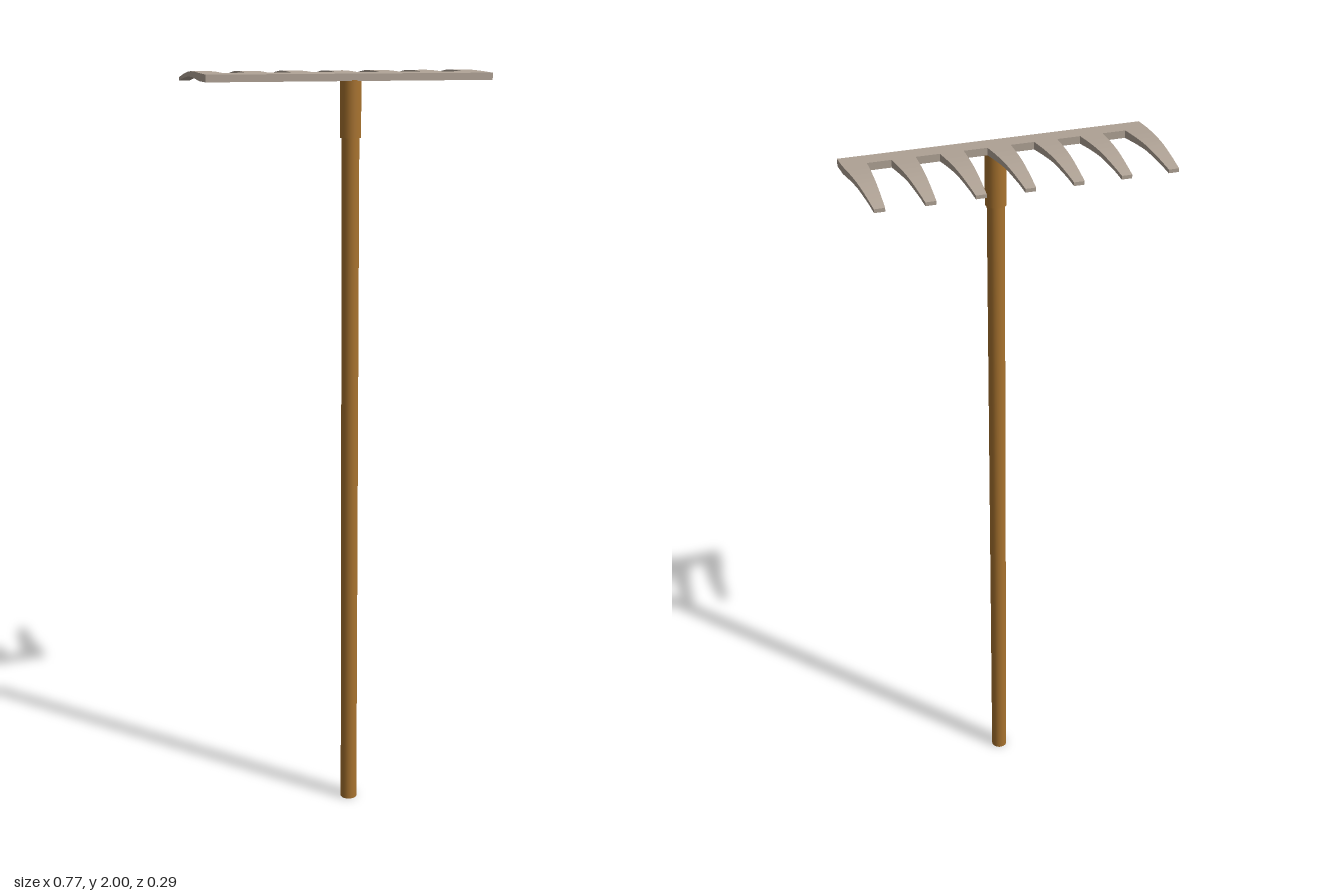
import * as THREE from 'three';

// Arched side profile of the head: [z, top y, underside y]
const PROFILE = [
  [0.142, 1.994, 1.976], [0.087, 1.997, 1.978], [0.04, 1.9995, 1.983], [0, 2, 1.986],
  [-0.03, 1.999, 1.987], [-0.07, 1.995, 1.984], [-0.11, 1.989, 1.98], [-0.144, 1.983, 1.974],
];

function profileAt(z, side) {
  let i = 0;
  while (i < PROFILE.length - 2 && z < PROFILE[i + 1][0]) i++;
  const a = PROFILE[i], b = PROFILE[i + 1];
  return THREE.MathUtils.lerp(a[side], b[side], (z - a[0]) / (b[0] - a[0]));
}

// A strip between two z positions that follows the profile and may taper
function strip(zFront, zBack, wFront, wBack, segments) {
  const g = new THREE.BoxGeometry(1, 1, 1, 1, 1, segments);
  const p = g.attributes.position;
  for (let i = 0; i < p.count; i++) {
    const t = 0.5 - p.getZ(i);
    const z = THREE.MathUtils.lerp(zFront, zBack, t);
    const x = p.getX(i) * THREE.MathUtils.lerp(wFront, wBack, t);
    p.setXYZ(i, x, profileAt(z, p.getY(i) > 0 ? 1 : 2), z);
  }
  g.computeVertexNormals();
  return g;
}

export function createModel() {
  const model = new THREE.Group();
  model.name = 'rake';
  const wood = new THREE.MeshStandardMaterial({ color: 0xa8732f });
  wood.name = 'wood';
  const metal = new THREE.MeshStandardMaterial({ color: 0xb0a396 });
  metal.name = 'metal';

  const add = (parent, name, geometry, material, x = 0, y = 0, z = 0) => {
    const mesh = new THREE.Mesh(geometry, material);
    mesh.name = name;
    mesh.position.set(x, y, z);
    parent.add(mesh);
  };

  // Handle and the thicker collar under the head
  add(model, 'handle', new THREE.CylinderGeometry(0.0225, 0.0225, 1.9, 24), wood, 0, 0.95, 0.116);
  add(model, 'collar', new THREE.CylinderGeometry(0.027, 0.027, 0.142, 24), wood, 0, 1.908, 0.116);

  // Head: crossbar with seven tapered, curved teeth
  const head = new THREE.Group();
  head.name = 'head';
  model.add(head);
  add(head, 'crossbar', strip(0.142, 0.087, 0.77, 0.77, 1), metal);
  const tooth = strip(0.087, -0.144, 0.059, 0.026, 14);
  for (let i = -3; i <= 3; i++) add(head, 'tooth', tooth, metal, i * 0.1185);

  return model;
}
